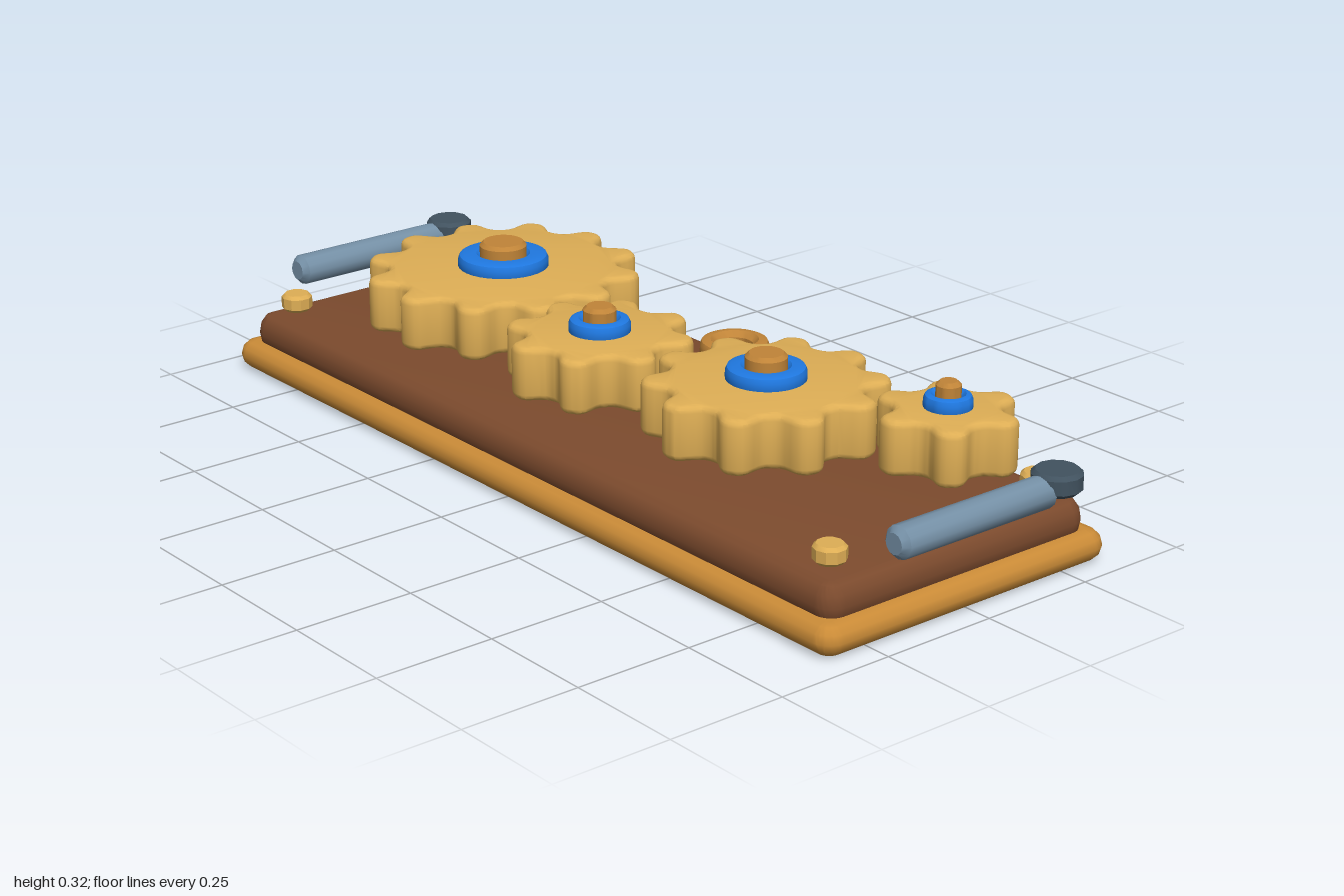
import * as THREE from 'three';
import { toCreasedNormals } from 'three/addons/utils/BufferGeometryUtils.js';

const mat = (color) => new THREE.MeshStandardMaterial({ color });
const GOLD = mat(0xdeae55), BLUE = mat(0x1f78e0), PEG = mat(0xc08438), BOARD = mat(0x7b4a2d);
const FRAME = mat(0xca8b37), STEEL = mat(0x7590a6), DARK = mat(0x41525f);

function add(parent, name, geometry, material, x = 0, y = 0, z = 0) {
  const mesh = new THREE.Mesh(geometry, material);
  mesh.name = name;
  mesh.position.set(x, y, z);
  parent.add(mesh);
  return mesh;
}

// Flat slab from a plan outline, with its bevel kept inside the outline
function slab(shape, height, bevelSize, bevelThickness, bevelSegments, crease = 0.6) {
  const g = new THREE.ExtrudeGeometry(shape, {
    depth: height - 2 * bevelThickness, bevelEnabled: true, bevelSize, bevelThickness,
    bevelOffset: -bevelSize, bevelSegments, curveSegments: 6, steps: 1,
  });
  g.translate(0, 0, bevelThickness).rotateX(-Math.PI / 2);
  return toCreasedNormals(g, crease);
}

function roundedRect(hx, hz, r) {
  const s = new THREE.Shape();
  s.absarc(hx - r, hz - r, r, 0, Math.PI / 2);
  s.absarc(-hx + r, hz - r, r, Math.PI / 2, Math.PI);
  s.absarc(-hx + r, -hz + r, r, Math.PI, Math.PI * 1.5);
  s.absarc(hx - r, -hz + r, r, Math.PI * 1.5, Math.PI * 2);
  return s;
}

// Soft teeth: a flattened cosine wave round a circle
function gearOutline(teeth, tip, root, phase) {
  const pts = [], n = teeth * 16, k = 1.4;
  for (let i = 0; i < n; i++) {
    const a = (i / n) * Math.PI * 2;
    const w = Math.tanh(k * Math.cos(teeth * a)) / Math.tanh(k);
    const r = (tip + root) / 2 + ((tip - root) / 2) * w;
    pts.push(new THREE.Vector2(r * Math.sin(a + phase), r * Math.cos(a + phase)));
  }
  return new THREE.Shape(pts);
}

// Solid disc with chamfered rims, standing on its own y = 0
function disc(r, h, c, sides) {
  const profile = [[0, 0], [r - c, 0], [r, c], [r, h - c], [r - c, h], [0, h]];
  const g = new THREE.LatheGeometry(profile.map(([x, y]) => new THREE.Vector2(x, y)), sides);
  return toCreasedNormals(g, 0.6);
}

// Ring with chamfered inner and outer rims
function ring(inner, outer, h, c, sides) {
  const profile = [
    [inner + c, 0], [outer - c, 0], [outer - c * 0.3, c * 0.3], [outer, c], [outer, h - c],
    [outer - c * 0.3, h - c * 0.3], [outer - c, h], [inner + c, h], [inner, h - c], [inner, c], [inner + c, 0],
  ];
  const g = new THREE.LatheGeometry(profile.map(([x, y]) => new THREE.Vector2(x, y)), sides);
  return toCreasedNormals(g, 0.7);
}

export function createModel() {
  const model = new THREE.Group();
  model.name = 'gearBoard';

  // Stepped wooden plinth
  add(model, 'baseFrame', slab(roundedRect(0.96, 0.36, 0.04), 0.063, 0.032, 0.0312, 3), FRAME);
  add(model, 'backBoard', slab(roundedRect(0.93, 0.33, 0.04), 0.085, 0.029, 0.042, 3), BOARD, 0, 0.04, 0);

  // Gear train: wheel, collar and peg
  const gears = [
    { name: 'largeGear', x: -0.494, y: 0.16, z: -0.027, teeth: 12, tip: 0.292, root: 0.243, phase: -9.6, collar: 0.096, peg: 0.05 },
    { name: 'idlerGear', x: -0.05, y: 0.16, z: 0.065, teeth: 8, tip: 0.193, root: 0.15, phase: 10, collar: 0.063, peg: 0.034 },
    { name: 'mediumGear', x: 0.361, y: 0.16, z: -0.018, teeth: 10, tip: 0.242, root: 0.196, phase: 2, collar: 0.08, peg: 0.042 },
    { name: 'smallGear', x: 0.665, y: 0.146, z: -0.21, teeth: 6, tip: 0.145, root: 0.105, phase: 11, collar: 0.048, peg: 0.025 },
  ];
  for (const s of gears) {
    const gear = new THREE.Group();
    gear.name = s.name;
    gear.position.set(s.x, s.y, s.z);
    const outline = gearOutline(s.teeth, s.tip, s.root, THREE.MathUtils.degToRad(s.phase));
    add(gear, 'toothedWheel', slab(outline, 0.113, 0.014, 0.014, 3), GOLD);
    add(gear, 'collar', ring(s.peg * 0.9, s.collar, 0.04, 0.012, 32), BLUE, 0, 0.1, 0);
    add(gear, 'peg', disc(s.peg, 0.065, 0.008, 24), PEG, 0, 0.1, 0);
    model.add(gear);
  }

  // Loose ring at the back
  add(model, 'spareRing', ring(0.038, 0.072, 0.045, 0.012, 28), PEG, 0, 0.15, -0.25);

  // Corner studs
  for (const x of [-0.855, 0.855])
    for (const z of [-0.262, 0.262])
      add(model, 'cornerStud', disc(0.033, 0.037, 0.007, 10), GOLD, x, 0.137, z);

  // Side levers: rounded bar with a flat knob at the back end
  for (const x of [-0.95, 0.95]) {
    const bar = disc(0.033, 0.39, 0.012, 12);
    bar.rotateX(Math.PI / 2);
    add(model, 'leverBar', bar, STEEL, x, 0.185, -0.193);
    add(model, 'leverKnob', disc(0.05, 0.044, 0.008, 12), DARK, x, 0.178, -0.214);
  }
  return model;
}
